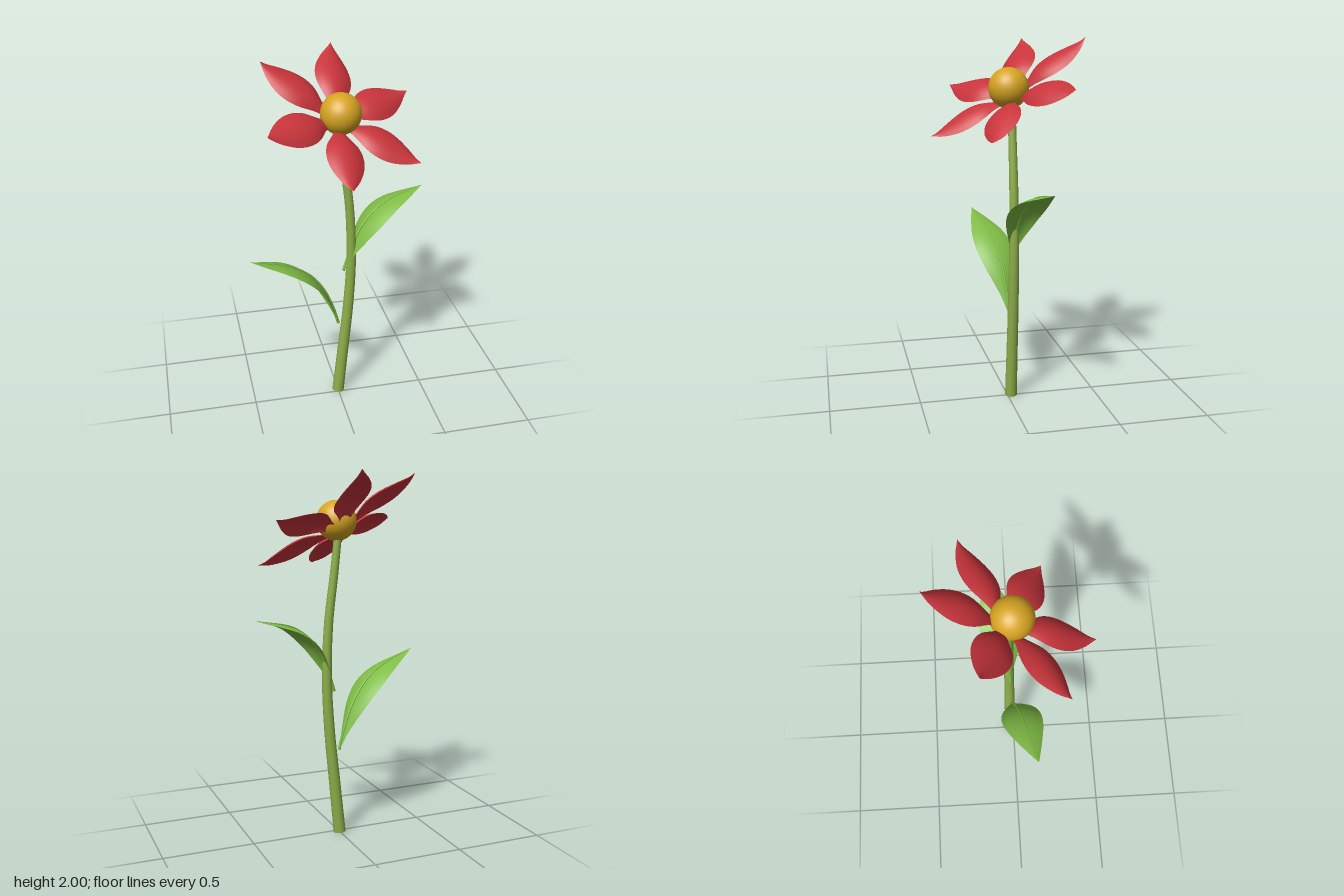
import * as THREE from 'three';

const V = (x, y, z) => new THREE.Vector3(x, y, z);

const material = (name, color, side = THREE.FrontSide) => {
  const m = new THREE.MeshStandardMaterial({ color, side });
  m.name = name;
  return m;
};

// Smooth profile through [t, value] points
const profile = (points) => {
  const curve = new THREE.SplineCurve(points.map(([t, w]) => new THREE.Vector2(t, w)));
  const samples = curve.getPoints(80);
  return (t) => {
    const i = Math.max(1, samples.findIndex((p) => p.x >= t - 1e-6));
    const a = samples[i - 1], b = samples[i];
    return THREE.MathUtils.mapLinear(t, a.x, b.x, a.y, b.y);
  };
};

// Tube whose radius runs evenly from r0 to r1
function taperedTube(curve, rings, sides, r0, r1) {
  const geo = new THREE.TubeGeometry(curve, rings, 1, sides);
  const pos = geo.attributes.position;
  for (let i = 0; i < pos.count; i++) {
    const t = Math.floor(i / (sides + 1)) / rings;
    const c = curve.getPointAt(t);
    const p = V(0, 0, 0).fromBufferAttribute(pos, i).sub(c).multiplyScalar(r0 + (r1 - r0) * t).add(c);
    pos.setXYZ(i, p.x, p.y, p.z);
  }
  return geo;
}

// Bend a grid into a blade: spine(t) gives the middle line, lift(u, t) the height off it
function blade(rows, spine, side, halfWidth, lift, normalAt) {
  const columns = 8;
  const geo = new THREE.PlaneGeometry(2, 1, columns, rows);
  const pos = geo.attributes.position;
  for (let i = 0; i < pos.count; i++) {
    const u = pos.getX(i);
    const t = 1 - Math.floor(i / (columns + 1)) / rows;
    const p = spine(t)
      .addScaledVector(side, u * Math.max(0, halfWidth(t)))
      .addScaledVector(normalAt(t), lift(u, t));
    pos.setXYZ(i, p.x, p.y, p.z);
  }
  geo.computeVertexNormals();
  return geo;
}

export function createModel() {
  const group = new THREE.Group();
  group.name = 'flower';
  const stemGreen = material('stem green', 0x8dae49);
  const leafGreen = material('leaf green', 0x7fbc45, THREE.DoubleSide);
  const petalRed = material('petal red', 0xc8343b, THREE.DoubleSide);
  const gold = material('center gold', 0xd6a422);

  const add = (name, geo, mat, parent = group) => {
    const mesh = new THREE.Mesh(geo, mat);
    mesh.name = name;
    parent.add(mesh);
    return mesh;
  };

  // Stem: bowed tube, tapering upwards
  const stemCurve = new THREE.CatmullRomCurve3(
    [[0, 0.003], [0.03, 0.3], [0.06, 0.6], [0.075, 0.9], [0.064, 1.2], [0.03, 1.48], [0.01, 1.67]]
      .map(([x, y]) => V(x, y, -0.02)));
  add('stem', taperedTube(stemCurve, 40, 16, 0.034, 0.021), stemGreen);

  // Cap closing the foot of the stem
  const foot = add('stemFoot', new THREE.CircleGeometry(0.034, 16), stemGreen);
  foot.position.copy(stemCurve.getPointAt(0));
  foot.quaternion.setFromUnitVectors(V(0, 0, 1), stemCurve.getTangentAt(0).negate());

  // Flower head: golden ball and six petals in a tilted plane
  const center = V(0.012, 1.743, -0.003);
  const ball = add('flowerCenter', new THREE.SphereGeometry(0.108, 32, 20), gold);
  ball.position.copy(center);

  // Petals rise from under the ball, arch across their width and curl up at the tip
  const normal = V(0.288, 0.804, 0.521).normalize();
  const firstDir = V(0.032, 0.255, -0.41).projectOnPlane(normal).normalize();
  const petalWidth = profile([[0, 0.02], [0.15, 0.045], [0.32, 0.088], [0.48, 0.103],
    [0.65, 0.092], [0.82, 0.056], [0.94, 0.018], [1, 0]]);
  const petalRise = profile([[0, -0.065], [0.12, -0.032], [0.3, 0], [0.5, 0.01],
    [0.75, 0.004], [0.9, 0], [1, 0.007]]);
  const petals = new THREE.Group();
  petals.name = 'petals';
  group.add(petals);
  for (let k = 0; k < 6; k++) {
    const dir = firstDir.clone().applyAxisAngle(normal, k * Math.PI / 3);
    const geo = blade(20,
      (t) => center.clone().addScaledVector(dir, 0.05 + 0.434 * t),
      dir.clone().cross(normal), petalWidth,
      (u, t) => petalRise(t) - 0.035 * u * u * Math.sin(Math.PI * t),
      () => normal);
    add('petal', geo, petalRed, petals);
  }

  // Leaves: arched blades with drooping edges and a slim rib along the middle
  const leafWidth = profile([[0, 0.004], [0.15, 0.035], [0.35, 0.088], [0.52, 0.111],
    [0.68, 0.098], [0.85, 0.052], [1, 0]]);
  const leaf = (name, points) => {
    const parts = new THREE.Group();
    parts.name = name;
    group.add(parts);
    const curve = new THREE.CatmullRomCurve3(points.map((p) => V(...p)));
    const along = points.at(-1).map((c, i) => c - points[0][i]);
    const side = V(along[0], 0, along[2]).normalize().cross(V(0, 1, 0));
    const geo = blade(24, (t) => curve.getPointAt(t), side, leafWidth,
      (u, t) => -Math.sin(Math.PI * t) * (0.003 + 0.026 * u * u),
      (t) => side.clone().cross(curve.getTangentAt(t)).normalize());
    add('leafBlade', geo, leafGreen, parts);
    add('leafRib', taperedTube(curve, 24, 8, 0.009, 0.001), leafGreen, parts);
  };
  leaf('upperLeaf', [[0.03, 0.82, -0.015], [0.08, 0.965, -0.026], [0.16, 1.1, -0.045],
    [0.28, 1.195, -0.073], [0.5, 1.25, -0.125]]);
  leaf('lowerLeaf', [[0, 0.48, -0.012], [-0.035, 0.6, -0.004], [-0.09, 0.73, 0.009],
    [-0.17, 0.84, 0.028], [-0.28, 0.92, 0.055], [-0.5, 1, 0.108]]);

  return group;
}
